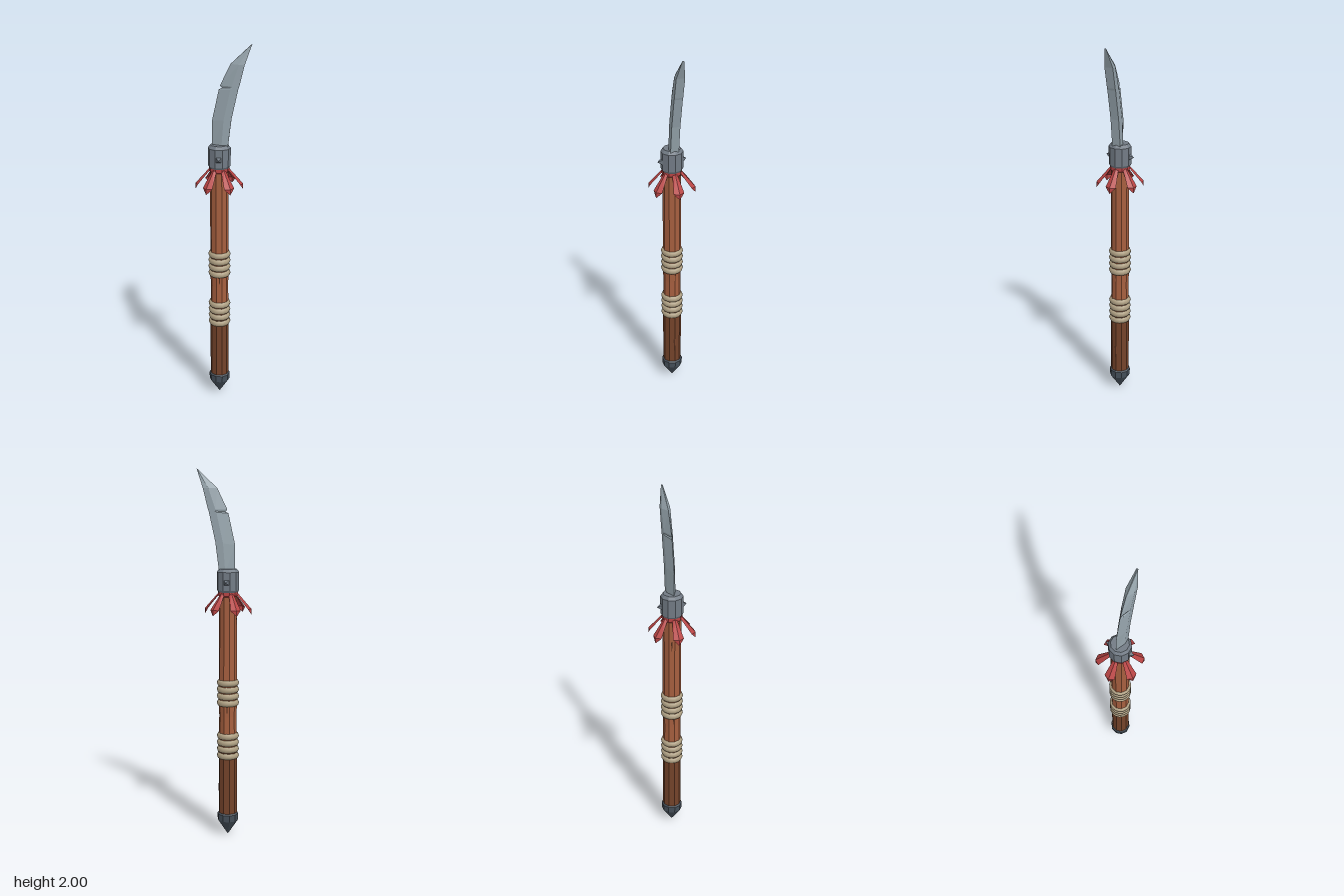
import * as THREE from 'three';

const mat = (name, color, side = THREE.FrontSide) => {
  const m = new THREE.MeshStandardMaterial({ color, side });
  m.name = name;
  return m;
};

// Faceted normals
const flat = (g) => {
  const f = g.index ? g.toNonIndexed() : g;
  f.computeVertexNormals();
  return f;
};

const lathe = (pts, sides = 10) =>
  flat(new THREE.LatheGeometry(pts.map(([r, y]) => new THREE.Vector2(r, y)), sides, Math.PI / 2));

// Triangles built from a list of corner points
const fromTriangles = (tris) => {
  const g = new THREE.BufferGeometry();
  g.setAttribute('position', new THREE.Float32BufferAttribute(tris.flat(2), 3));
  g.computeVertexNormals();
  return g;
};

// Blade cross-sections: cutting edge, two ridge points, two spine points
function bladeGeometry() {
  const stations = [
    [-0.06, 1.46, 0.022, 1.46, 0.023],
    [-0.06, 1.605, 0.042, 1.62, 0.023],
    [-0.024, 1.77, 0.077, 1.78, 0.023],
    [-0.008, 1.778, 0.079, 1.785, 0.023],
    [-0.018, 1.79, 0.081, 1.79, 0.023],
    [0.035, 1.9, 0.108, 1.9, 0.023],
    [0.139, 1.998, 0.144, 2.0, 0.004],
  ];
  const rings = stations.map(([ex, ey, sx, sy, z]) => {
    const mx = ex + (sx - ex) * 0.6, my = ey + (sy - ey) * 0.6;
    return [[ex, ey, 0], [mx, my, z], [sx, sy, z], [sx, sy, -z], [mx, my, -z]];
  });
  const tris = [];
  for (let i = 0; i < rings.length - 1; i++) {
    const a = rings[i], b = rings[i + 1];
    for (let j = 0; j < 5; j++) {
      const k = (j + 1) % 5;
      tris.push([a[j], a[k], b[k]], [a[j], b[k], b[j]]);
    }
  }
  const t = rings[rings.length - 1], o = rings[0];
  for (let j = 1; j < 4; j++) tris.push([t[0], t[j], t[j + 1]], [o[0], o[j + 1], o[j]]);
  return fromTriangles(tris);
}

// Cloth strip: creased kite hanging outward along +x
function ribbonGeometry() {
  const topL = [0.044, 1.35, 0.013], topR = [0.044, 1.35, -0.013], topM = [0.052, 1.352, 0];
  const left = [0.112, 1.268, 0.029], right = [0.112, 1.268, -0.029];
  const mid = [0.126, 1.268, 0], tip = [0.126, 1.237, 0];
  return fromTriangles([
    [topM, topL, left], [topM, left, mid], [mid, left, tip],
    [topM, right, topR], [topM, mid, right], [mid, tip, right],
  ]);
}

export function createModel() {
  const group = new THREE.Group();
  const wood = mat('wood', 0xa65f3f);
  const darkWood = mat('dark wood', 0x74432a);
  const crackWood = mat('crack brown', 0x4f2c1c, THREE.DoubleSide);
  const rope = mat('rope', 0xb0a184);
  const cloth = mat('red cloth', 0xb84444, THREE.DoubleSide);
  const steel = mat('blade steel', 0x94a2aa);
  const iron = mat('collar iron', 0x727b85);
  const darkIron = mat('dark iron', 0x454f59);

  // Everything but the blade turns around the pole axis
  const shaft = new THREE.Group();
  shaft.name = 'shaft';
  shaft.position.x = -0.022;
  group.add(shaft);
  const add = (parent, name, geo, material) => {
    const m = new THREE.Mesh(geo, material);
    m.name = name;
    parent.add(m);
    return m;
  };

  // Pole
  add(shaft, 'lowerPole', lathe([[0.051, 0.1], [0.051, 0.5]]), darkWood);
  add(shaft, 'upperPole', lathe([[0.05, 0.5], [0.048, 0.68], [0.05, 0.8], [0.049, 1.37]]), wood);

  // Pointed foot
  add(shaft, 'footCap', lathe([[0, 0], [0.057, 0.085], [0.058, 0.122], [0.05, 0.13], [0, 0.13]]), darkIron);

  // Rope wraps
  [0.457, 0.753].forEach((y0) => {
    for (let i = 0; i < 4; i++) {
      const ring = add(shaft, 'ropeRing', new THREE.TorusGeometry(0.0415, 0.0195, 8, 16), rope);
      ring.rotation.x = Math.PI / 2;
      ring.position.y = y0 + i * 0.037;
    }
  });

  // Cracks in the wood: [angle, top, bottom]
  [[0.05, 0.75, 0.685], [1.6, 0.75, 0.69], [3.2, 0.75, 0.685], [4.6, 0.75, 0.7],
    [1.5, 0.29, 0.2], [4.4, 1.22, 1.16]].forEach(([angle, top, bottom]) => {
    const crack = add(shaft, 'woodCrack', fromTriangles([
      [[-0.005, top, 0.0515], [0, bottom, 0.0515], [0.005, top, 0.0515]],
    ]), crackWood);
    crack.rotation.y = angle;
  });

  // Collar with a pyramid stud front and back
  add(shaft, 'collar', lathe([[0, 1.352], [0.05, 1.352], [0.06, 1.367], [0.06, 1.463], [0.047, 1.48], [0, 1.48]]), iron);
  [1, -1].forEach((s) => {
    const geo = new THREE.ConeGeometry(0.021, 0.026, 4);
    geo.rotateY(Math.PI / 4);
    const stud = add(shaft, 'collarStud', flat(geo), iron);
    stud.rotation.x = s * Math.PI / 2;
    stud.position.set(0, 1.41, s * 0.067);
  });

  // Cloth band and hanging strips
  add(shaft, 'clothBand', lathe([[0.049, 1.332], [0.054, 1.338], [0.054, 1.356]]), cloth);
  const ribbon = ribbonGeometry();
  for (let i = 0; i < 6; i++) {
    add(shaft, 'clothStrip', ribbon, cloth).rotation.y = i * Math.PI / 3;
  }

  // Curved blade
  add(group, 'blade', bladeGeometry(), steel);
  return group;
}
